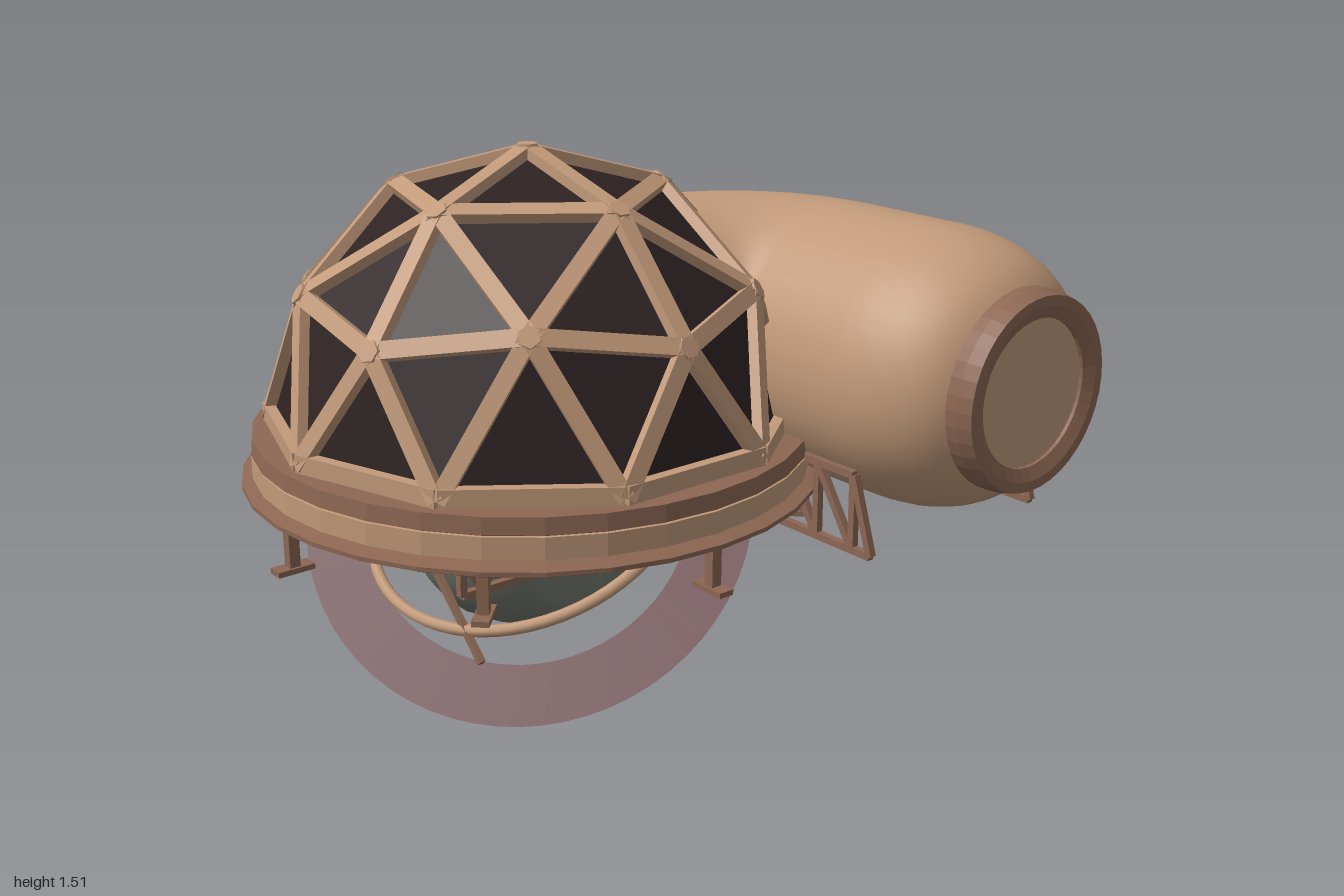
import * as THREE from 'three';
import { mergeVertices } from 'three/addons/utils/BufferGeometryUtils.js';

const V = (x, y, z) => new THREE.Vector3(x, y, z);
const mat = (name, color) => Object.assign(new THREE.MeshStandardMaterial({ color }), { name });

export function createModel() {
  const tan = mat('tan metal', 0xc29a7a);
  const brown = mat('brown metal', 0x8d6753);
  const glass = mat('dark glass', 0x2e2323);
  const stone = mat('grey stone', 0x70766c);
  const plum = mat('plum ring', 0x6f4b50);
  plum.side = THREE.DoubleSide;
  glass.side = THREE.DoubleSide;

  const model = new THREE.Group();
  model.name = 'domeStation';
  const CX = -0.155, CZ = 0.165;

  const add = (parent, name, geo, m, pos) => {
    const mesh = new THREE.Mesh(geo, m);
    mesh.name = name;
    if (pos) mesh.position.copy(pos);
    parent.add(mesh);
    return mesh;
  };
  const group = (name, x = 0, y = 0, z = 0) => {
    const g = new THREE.Group();
    g.name = name;
    g.position.set(x, y, z);
    model.add(g);
    return g;
  };
  const flat = (geo) => {
    const g = geo.index ? geo.toNonIndexed() : geo;
    g.computeVertexNormals();
    return g;
  };
  // Rectangular bar from a to b, its depth pointing along up
  const beam = (parent, name, a, b, w, d, m, up = V(0, 1, 0)) => {
    const mesh = new THREE.Mesh(new THREE.BoxGeometry(w, d, a.distanceTo(b)), m);
    mesh.name = name;
    mesh.up.copy(up);
    mesh.position.copy(a).add(b).multiplyScalar(0.5);
    mesh.lookAt(b);
    parent.add(mesh);
  };
  const lathe = (pts, seg) => new THREE.LatheGeometry(pts.map((p) => new THREE.Vector2(...p)), seg);

  // Geodesic dome: rings of nodes, then triangles between them
  const dome = group('dome', CX, 0.765, CZ);
  const R = 0.735;
  const node = (lat, az) => {
    const l = THREE.MathUtils.degToRad(lat), a = THREE.MathUtils.degToRad(az);
    return V(Math.cos(l) * Math.cos(a), Math.sin(l), Math.cos(l) * Math.sin(a)).multiplyScalar(R);
  };
  const nodes = [V(0, R, 0)];
  for (let k = 0; k < 5; k++) nodes.push(node(58.28, 72 * k));
  for (let j = 0; j < 10; j++) nodes.push(node(j % 2 ? 31.72 : 26.57, 36 * j));
  for (let j = 0; j < 10; j++) nodes.push(node(0, 18 + 36 * j));
  const A = (k) => 1 + (k % 5), B = (j) => 6 + (j % 10), C = (j) => 16 + ((j + 10) % 10);
  const tris = [];
  for (let k = 0; k < 5; k++) {
    tris.push([0, A(k + 1), A(k)], [A(k), B(2 * k + 1), B(2 * k)]);
    tris.push([A(k), A(k + 1), B(2 * k + 1)], [A(k + 1), B(2 * k + 2), B(2 * k + 1)]);
  }
  for (let j = 0; j < 10; j++) tris.push([B(j), B(j + 1), C(j)], [B(j), C(j), C(j - 1)]);

  const panelPts = tris.flat().map((i) => nodes[i].clone().multiplyScalar(0.985));
  add(dome, 'domePanels', flat(new THREE.BufferGeometry().setFromPoints(panelPts)), glass);

  const seen = new Set();
  for (const t of tris) for (let e = 0; e < 3; e++) {
    const i = Math.min(t[e], t[(e + 1) % 3]), j = Math.max(t[e], t[(e + 1) % 3]);
    if (seen.has(i * 100 + j)) continue;
    seen.add(i * 100 + j);
    const up = nodes[i].clone().add(nodes[j]).normalize();
    if (i >= 16) beam(dome, 'domeSill', nodes[i], nodes[j], 0.03, 0.07, tan);
    else beam(dome, 'domeStrut', nodes[i], nodes[j], 0.046, 0.03, tan, up);
  }
  // Node caps
  nodes.slice(0, 16).forEach((n) => {
    const cap = add(dome, 'domeNode', new THREE.CylinderGeometry(0.03, 0.034, 0.03, 6), tan, n);
    cap.quaternion.setFromUnitVectors(V(0, 1, 0), n.clone().normalize());
  });

  // Stepped base under the dome
  const base = group('base', CX, 0, CZ);
  add(base, 'baseUpperBand', flat(lathe([[0.77, 0.7], [0.78, 0.705], [0.775, 0.75], [0.68, 0.752]], 32)), brown);
  add(base, 'baseLowerBand', flat(lathe([[0.75, 0.635], [0.78, 0.64], [0.78, 0.7], [0.76, 0.702]], 32)), tan);
  add(base, 'baseFlange', flat(lathe([[0.7, 0.63], [0.7, 0.6], [0.79, 0.6], [0.81, 0.61], [0.81, 0.622], [0.74, 0.638]], 32)), brown);
  add(base, 'baseFloor', new THREE.CircleGeometry(0.72, 32).rotateX(Math.PI / 2), brown, V(0, 0.622, 0));

  // Eight feet
  for (let k = 0; k < 8; k++) {
    const foot = new THREE.Group();
    foot.name = 'foot';
    foot.rotation.y = k * Math.PI / 4;
    add(foot, 'footPost', new THREE.BoxGeometry(0.03, 0.12, 0.03), brown, V(0.77, 0.55, 0));
    add(foot, 'footPad', new THREE.BoxGeometry(0.105, 0.015, 0.045), brown, V(0.77, 0.49, 0));
    base.add(foot);
  }

  // Docking tunnel: bent part, barrel, collar and hatch
  const tunnel = group('tunnel', 0.27, 0.935, -0.615);
  const elbow = new THREE.TorusGeometry(0.388, 0.385, 40, 16, Math.PI / 2).rotateZ(Math.PI / 2).rotateX(-Math.PI / 2);
  add(tunnel, 'tunnelElbow', elbow, tan, V(0, 0, 0.388));
  const barrel = [[0.385, 0], [0.385, 0.34]];
  for (let i = 1; i <= 8; i++) {
    const a = i / 8 * 1.27;
    barrel.push([0.22 + 0.165 * Math.cos(a), 0.34 + 0.31 * Math.sin(a)]);
  }
  add(tunnel, 'tunnelBarrel', lathe(barrel, 40).rotateZ(-Math.PI / 2), tan);
  const collar = [[0.25, 0.625], [0.272, 0.635], [0.272, 0.67], [0.262, 0.71], [0.235, 0.71], [0.2, 0.695], [0.2, 0.68]];
  add(tunnel, 'tunnelCollar', flat(lathe(collar, 40).rotateZ(-Math.PI / 2)), brown);
  add(tunnel, 'tunnelHatch', new THREE.CircleGeometry(0.203, 40).rotateY(Math.PI / 2), tan, V(0.685, 0, 0));

  // Lattice frames: top and bottom rails with a zigzag between
  const truss = (name, a, b, h, lean, bays) => {
    const g = group(name);
    const dir = b.clone().sub(a).normalize();
    const low = (t) => a.clone().lerp(b, t);
    const high = (t) => low(t).addScaledVector(dir, -lean).add(V(0, h, 0));
    const bar = (p, q) => beam(g, 'latticeBar', p, q, 0.02, 0.02, brown, V(dir.z, 0, -dir.x));
    bar(low(0), low(1));
    bar(high(0), high(1));
    bar(low(0), high(0));
    bar(low(1), high(1));
    for (let i = 0; i < bays; i++) {
      bar(high(i / bays), low((i + 0.5) / bays));
      bar(low((i + 0.5) / bays), high((i + 1) / bays));
    }
  };
  for (const z of [-0.29, -0.95]) truss('tunnelLattice', V(0.2, 0.49, z), V(0.73, 0.49, z), 0.21, 0.07, 4);
  for (const z of [-0.27, 0.165, 0.58]) truss('floorLattice', V(0.28, 0.5, z - 0.12), V(0.28, 0.5, z + 0.12), 0.11, 0, 2);
  truss('floorLattice', V(-0.6, 0.5, -0.38), V(-0.6, 0.5, -0.14), 0.11, 0, 2);

  // Cratered stone ball hanging below the floor
  const core = V(-0.165, 0.48, 0.18);
  let ball = new THREE.IcosahedronGeometry(0.35, 9);
  ball.deleteAttribute('uv');
  ball.deleteAttribute('normal');
  ball = mergeVertices(ball, 1e-4);
  const craters = [[-0.25, 0.08, 1, 0.32], [1, -0.12, 0.1, 0.305], [-0.3, 0, -1, 0.31], [-1, -0.1, 0.1, 0.325],
    [0.5, -0.4, -0.8, 0.32], [0.3, -0.8, 0.5, 0.335], [-0.6, -0.6, -0.4, 0.33]];
  const p = V(0, 0, 0), pos = ball.attributes.position;
  for (let i = 0; i < pos.count; i++) {
    p.fromBufferAttribute(pos, i);
    for (const [x, y, z, cut] of craters) {
      const c = V(x, y, z).normalize(), over = p.dot(c) - cut;
      if (over > 0) p.addScaledVector(c, -Math.min(over * 2.2, over + 0.02));
    }
    pos.setXYZ(i, p.x, p.y, p.z);
  }
  ball.computeVertexNormals();
  add(model, 'stoneBall', ball, stone, core);

  // Tilted rings around the ball
  const tilt = (mesh, n) => mesh.quaternion.setFromUnitVectors(V(0, 0, 1), n.normalize());
  tilt(add(model, 'wideRing', new THREE.RingGeometry(0.475, 0.648, 64), plum, core), V(0.49, 0.67, 0.55));
  tilt(add(model, 'thinRing', new THREE.TorusGeometry(0.465, 0.017, 8, 64), tan, core), V(0.13, 0.88, 0.45));

  // Slanted rod in front of the ball
  beam(model, 'rod', V(-0.34, 0.63, 0.54), V(0.12, 0.2, 0.54), 0.018, 0.018, brown);
  return model;
}
